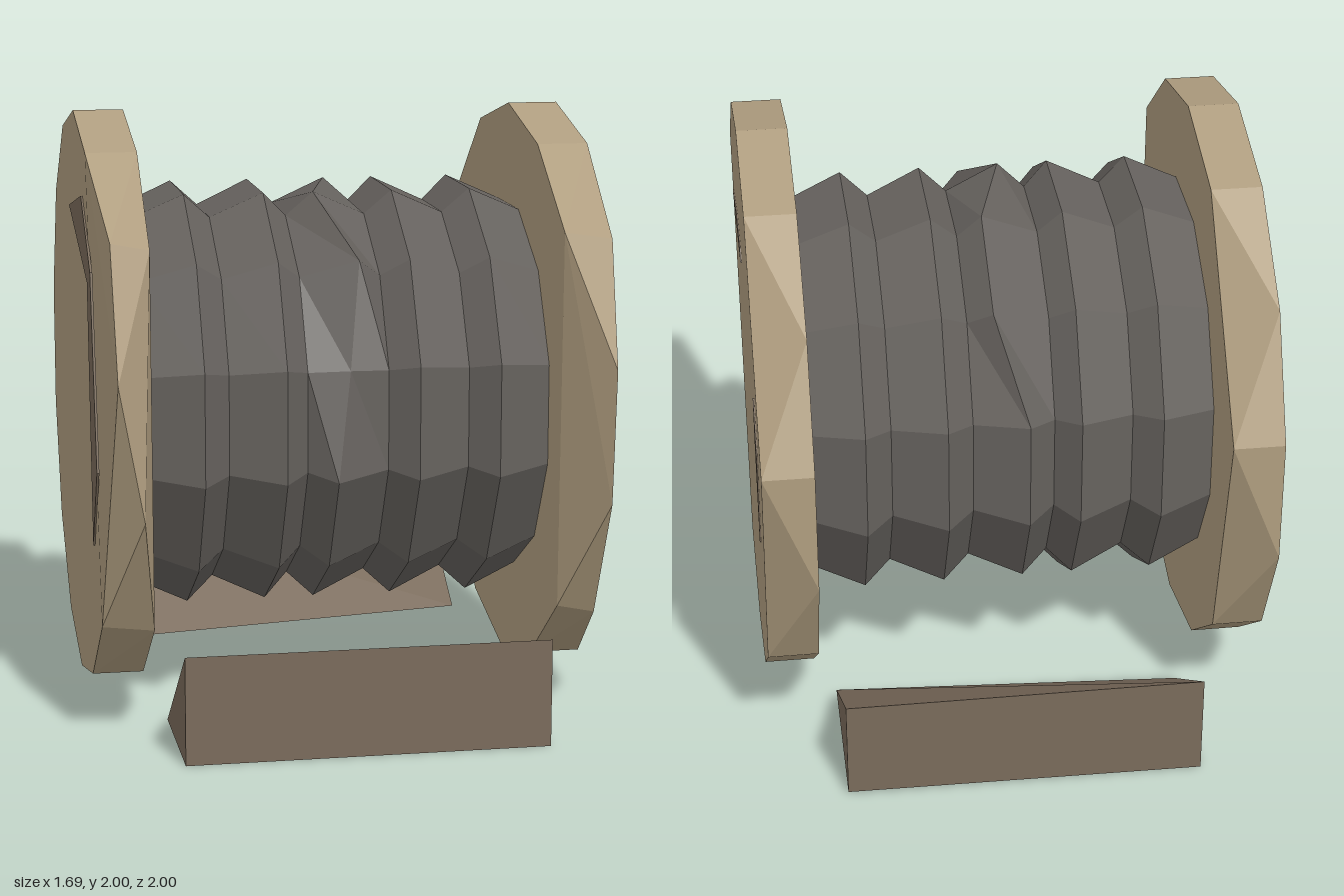
import * as THREE from 'three';
import { ConvexGeometry } from 'three/addons/geometries/ConvexGeometry.js';

const flat = (name, color) => {
  const m = new THREE.MeshStandardMaterial({ color });
  m.name = name;
  return m;
};

const CENTRE_Y = 1.025;

export function createModel() {
  const group = new THREE.Group();
  const paleWood = flat('paleWood', 0xb09e80);
  const darkWood = flat('darkWood', 0x7a6b5b);
  const cable = flat('cable', 0x66625e);

  const add = (name, geometry, material) => {
    const mesh = new THREE.Mesh(geometry, material);
    mesh.name = name;
    group.add(mesh);
    return mesh;
  };
  const hull = (points) => new ConvexGeometry(points.map((p) => new THREE.Vector3(...p)));

  // Flange discs: fourteen-sided, with missing rim corners and a worn front rim
  const disc = (x0, x1, frontPoints) => {
    const points = [...frontPoints];
    for (let k = 0; k < 14; k++) {
      const a = (k / 14) * Math.PI * 2; // from the top towards the back
      const y = CENTRE_Y + Math.cos(a) * 0.975;
      const z = -Math.sin(a) * 0.975;
      if (z > 0.6) continue;
      points.push([x0, y, z]);
      if (k !== 2 && k !== 4) points.push([x1, y, z]);
    }
    return hull(points);
  };
  add('leftFlange', disc(0.67, 0.84, [
    [0.67, 1.66, 0.8], [0.84, 1.63, 0.76], [0.8, 1.24, 1], [0.79, 0.8, 1],
    [0.67, 0.41, 0.78], [0.79, 0.39, 0.8],
  ]), paleWood);
  add('rightFlange', disc(-0.84, -0.67, [
    [-0.8, 1.66, 0.8], [-0.67, 1.63, 0.76], [-0.8, 1.24, 1], [-0.72, 0.8, 1],
    [-0.84, 0.41, 0.78], [-0.67, 0.39, 0.78],
  ]), paleWood);

  // Wound cable: twelve-sided rings alternating between ridge and groove
  const rings = [
    [-0.675, 0.645], [-0.49, 0.73], [-0.4, 0.645], [-0.22, 0.73], [-0.14, 0.645],
    [-0.05, 0.73], [0.13, 0.645], [0.22, 0.73], [0.4, 0.645], [0.49, 0.73], [0.675, 0.645],
  ];
  const SIDES = 12;
  const position = [];
  const index = [];
  rings.forEach(([x, r], i) => {
    for (let j = 0; j < SIDES; j++) {
      const a = ((j + 0.5) / SIDES) * Math.PI * 2; // from the front upwards
      let px = x;
      let pr = r;
      if (i === 5) { // uneven middle ridge
        if (j === 1 || j === 3 || j === 4) px = 0.05;
        if (j === 0) { px = 0; pr = 0.66; }
      }
      position.push(px, CENTRE_Y + Math.sin(a) * pr, Math.cos(a) * pr);
    }
  });
  for (let i = 0; i < rings.length - 1; i++) {
    for (let j = 0; j < SIDES; j++) {
      const a = i * SIDES + j;
      const b = i * SIDES + ((j + 1) % SIDES);
      const c = a + SIDES;
      const d = b + SIDES;
      index.push(a, c, b, b, c, d);
    }
  }
  const indexed = new THREE.BufferGeometry();
  indexed.setAttribute('position', new THREE.Float32BufferAttribute(position, 3));
  indexed.setIndex(index);
  const coil = indexed.toNonIndexed();
  coil.computeVertexNormals();
  add('cableCoil', coil, cable);

  // Wedge chocks in front and behind
  const W = 0.6;
  add('frontChock', hull([-W, W].flatMap((x) => [[x, 0, 1], [x, 0.36, 1], [x, 0, 0.51]])), darkWood);
  add('backChock', hull([
    [-W, 0, -1], [-W, 0.36, -1], [-W, 0, -0.5],
    [W, 0.01, -1], [W, 0.36, -1], [W, 0.06, -0.5],
  ]), darkWood);

  // Dark core slivers showing on the outer faces; outlines are [z, y]
  const sliver = (name, outline, x, side) => {
    const shape = new THREE.Shape(outline.map(([z, y]) => new THREE.Vector2(-z * side, y)));
    const geometry = new THREE.ExtrudeGeometry(shape, { depth: 0.008, bevelEnabled: false });
    geometry.rotateY((side * Math.PI) / 2);
    geometry.translate(x, 0, 0);
    add(name, geometry, darkWood);
  };
  sliver('leftUpperSliver', [[0.58, 1.485], [0.25, 1.56], [0.07, 1.525], [0.04, 1.485]], 0.837, 1);
  sliver('leftBackSliver', [[-0.64, 1.36], [-0.72, 1.19], [-0.64, 0.8], [-0.62, 1.16]], 0.837, 1);
  sliver('rightSliver', [
    [-0.14, 1.66], [0.315, 1.75], [0.6, 1.54], [0.74, 0.91], [0.575, 0.63], [0.49, 1.49],
  ], -0.838, -1);

  return group;
}
